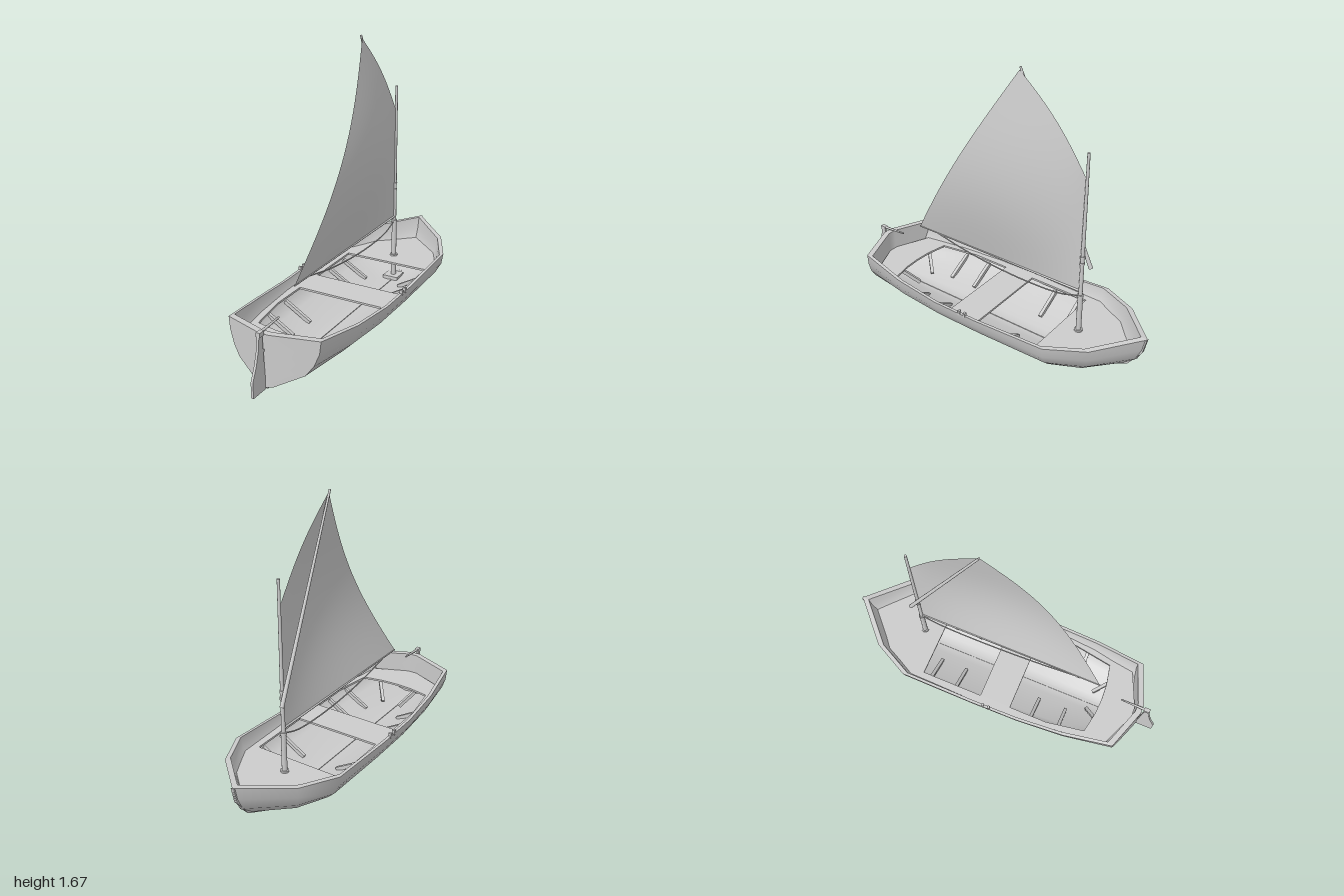
import * as THREE from 'three';

const V = (x, y, z) => new THREE.Vector3(x, y, z);
const grey = new THREE.MeshStandardMaterial({ color: 0xcccccc });
const greyDouble = new THREE.MeshStandardMaterial({ color: 0xcccccc, side: THREE.DoubleSide });

// Hull stations: z, half breadth, sheer height
const stations = [[0.8, 0.28, 0.325], [0.5, 0.325, 0.287], [0.2, 0.343, 0.266], [-0.1, 0.348, 0.27],
  [-0.56, 0.35, 0.295], [-0.78, 0.24, 0.31], [-1, 0, 0.345]];
// Cross-section levels: breadth fraction, height fraction, stem reach
const levels = [[0, 0, 0.68], [0.17, 0.02, 0.7], [0.72, 0.3, 0.88], [0.87, 0.5, 0.95], [0.97, 0.75, 0.985], [1, 1, 1]];
const OUTER = { x: 1, z: 1, keel: 0.04 };
const INNER = { x: 0.95, z: 0.96, keel: 0.055 };

function hullPoint(i, [f, t, reach], side, shell) {
  const [z0, b, sheer] = stations[i];
  const x = f * b;
  let z = z0;
  if (i === 0) z = 0.9 - 0.1 * x / 0.28;
  if (z < -0.45) z = -0.45 + (z + 0.45) * (reach - 0.45) / 0.55;
  return V(side * x * shell.x, shell.keel + t * (sheer - shell.keel), z * shell.z);
}

// Smooth surface through rows of points
function surface(rows) {
  const n = rows[0].length, index = [];
  for (let r = 0; r < rows.length - 1; r++)
    for (let c = 0; c < n - 1; c++) {
      const a = r * n + c, b = a + n;
      index.push(a, b, a + 1, b, b + 1, a + 1);
    }
  const g = new THREE.BufferGeometry().setFromPoints(rows.flat());
  g.setIndex(index);
  g.computeVertexNormals();
  return g;
}

const hullShell = shell => surface(stations.map((_, i) => [
  ...levels.slice(1).reverse().map(l => hullPoint(i, l, -1, shell)),
  ...levels.map(l => hullPoint(i, l, 1, shell))]));

function transomRow([f, t], shell) {
  return [-1, -0.1, 0.1, 1].map(c => {
    const x = c * f * 0.28;
    const rise = Math.abs(c) < 1 ? 0.013 * t : 0;
    return V(x * shell.x, shell.keel + t * (0.325 - shell.keel) + rise, (0.9 - 0.1 * Math.abs(x) / 0.28) * shell.z);
  });
}

// Closed line along the top edge of a shell
function sheerLine(shell) {
  const top = levels[levels.length - 1];
  const side = s => stations.map((_, i) => hullPoint(i, top, s, shell));
  return [...side(-1), ...side(1).reverse(), ...transomRow(top, shell).reverse()];
}

// Flat plate drawn in the z-y plane, centred on x = 0
function plate(points, width) {
  const shape = new THREE.Shape(points.map(p => new THREE.Vector2(...p)));
  return new THREE.ExtrudeGeometry(shape, { depth: width, bevelEnabled: false })
    .translate(0, 0, -width / 2).rotateY(-Math.PI / 2);
}

// Tapered round spar between two points
function spar(a, b, ra, rb, sides = 12) {
  const d = b.clone().sub(a);
  const g = new THREE.CylinderGeometry(rb, ra, d.length(), sides);
  g.applyQuaternion(new THREE.Quaternion().setFromUnitVectors(V(0, 1, 0), d.normalize()));
  const m = a.clone().add(b).multiplyScalar(0.5);
  return g.translate(m.x, m.y, m.z);
}

export function createModel() {
  const boat = new THREE.Group();
  boat.name = 'sailingDinghy';
  const add = (name, geometry, material = grey) => {
    const mesh = new THREE.Mesh(geometry, material);
    mesh.name = name;
    boat.add(mesh);
    return mesh;
  };

  // Hull shells, transom and gunwale
  for (const [label, shell] of [['outer', OUTER], ['inner', INNER]]) {
    add(label + 'Hull', hullShell(shell), greyDouble);
    add(label + 'Transom', surface(levels.map(l => transomRow(l, shell))).toNonIndexed(), greyDouble);
  }
  add('gunwale', surface([sheerLine(OUTER), sheerLine(INNER)]), greyDouble);

  // Keel and stem
  add('keel', plate([[0.88, 0.025], [-0.2, 0.005], [-0.4, 0.008], [-0.68, 0.03], [-0.9, 0.14], [-0.98, 0.25],
    [-1, 0.345], [-0.98, 0.335], [-0.95, 0.25], [-0.86, 0.15], [-0.66, 0.06], [0.88, 0.06]], 0.02));

  // Bench deck with two wells
  const half = stations.map(([z, b]) => [b * 0.926, z * 0.94]);
  const outline = [...half, ...half.slice(0, -1).reverse().map(([x, z]) => [-x, z]), [-0.03, 0.85], [0.03, 0.85]];
  const toVec = list => list.map(p => new THREE.Vector2(...p));
  const deck = new THREE.Shape(toVec(outline));
  deck.holes.push(
    new THREE.Path(toVec([[-0.27, -0.46], [0.27, -0.46], [0.27, -0.07], [-0.27, -0.07]])),
    new THREE.Path(toVec([[-0.27, 0.13], [0.27, 0.13], [0.27, 0.37], [0.23, 0.61], [0.1, 0.635], [0, 0.64],
      [-0.1, 0.635], [-0.23, 0.61], [-0.27, 0.37]])));
  add('benchDeck', new THREE.ExtrudeGeometry(deck, { depth: 0.012, bevelEnabled: false })
    .rotateX(Math.PI / 2).translate(0, 0.212, 0));

  // Ribs and oarlocks, mirrored
  for (const s of [-1, 1]) {
    const rib = (a, b) => {
      const mesh = add('rib', new THREE.BoxGeometry(0.02, 0.022, a.distanceTo(b)));
      mesh.position.copy(a).add(b).multiplyScalar(0.5);
      mesh.lookAt(b);
    };
    for (const z of [-0.41, -0.24, 0.27, 0.45]) rib(V(s * 0.115, 0.085, z), V(s * 0.28, 0.18, z));
    rib(V(s * 0.06, 0.1, 0.57), V(s * 0.13, 0.19, 0.65));
    for (const z of [-0.025, 0.015])
      add('oarlock', new THREE.BoxGeometry(0.018, 0.03, 0.014).translate(s * 0.338, 0.272, z));
  }

  // Mast with step, deck collar and bands
  const mz = -0.575;
  add('mast', spar(V(0, 0.4, mz), V(0, 1.32, mz), 0.012, 0.008));
  add('lowerMast', spar(V(0, 0.06, mz), V(0, 0.45, mz), 0.016, 0.015));
  add('mastStep', new THREE.BoxGeometry(0.1, 0.025, 0.1).translate(0, 0.068, mz));
  for (const [y, r] of [[0.215, 0.024], [0.45, 0.018], [0.66, 0.014], [0.7, 0.014]])
    add('mastBand', new THREE.CylinderGeometry(r, r, 0.014, 16).translate(0, y, mz));

  // Sprit, boom and sheet rope
  add('sprit', spar(V(-0.026, 0.63, -0.615), V(-0.012, 1.675, -0.14), 0.012, 0.006));
  add('boom', spar(V(0, 0.479, mz), V(0, 0.477, 0.6), 0.007, 0.004, 8));
  const rope = new THREE.CatmullRomCurve3([V(0, 0.475, 0.45), V(0, 0.435, 0.25), V(0, 0.405, 0),
    V(0, 0.396, -0.25), V(0, 0.41, -0.45), V(0, 0.45, mz)]);
  add('sheetRope', new THREE.TubeGeometry(rope, 32, 0.004, 6));

  // Bellied four-cornered sail
  const tack = V(0, 0.48, -0.565), clew = V(0, 0.475, 0.6), throat = V(0, 1.18, -0.565), peak = V(-0.005, 1.66, -0.14);
  const sailRows = [];
  for (let r = 0; r <= 20; r++) {
    const row = [], v = r / 20;
    for (let c = 0; c <= 16; c++) {
      const u = c / 16;
      const p = tack.clone().lerp(throat, v).lerp(clew.clone().lerp(peak, v), u);
      const headRound = 0.03 * Math.sin(Math.PI * u) * v * v;
      p.x += 0.085 * Math.sin(Math.PI * v) * Math.sin(0.6 * Math.PI * u);
      p.y += headRound * 0.7;
      p.z -= headRound * 0.7;
      row.push(p);
    }
    sailRows.push(row);
  }
  add('sail', surface(sailRows), greyDouble);

  // Rudder and tiller
  add('rudder', plate([[0.89, 0.03], [1, 0.03], [1, 0.12], [0.965, 0.2], [0.945, 0.27], [0.935, 0.35], [0.908, 0.35]], 0.014));
  add('rudderHead', new THREE.BoxGeometry(0.024, 0.025, 0.035).translate(0, 0.352, 0.918));
  add('tiller', spar(V(0, 0.356, 0.93), V(0, 0.366, 0.75), 0.009, 0.005, 8));
  for (const y of [0.1, 0.25])
    add('rudderHinge', new THREE.BoxGeometry(0.012, 0.012, 0.04).translate(0, y, 0.9));

  return boat;
}
